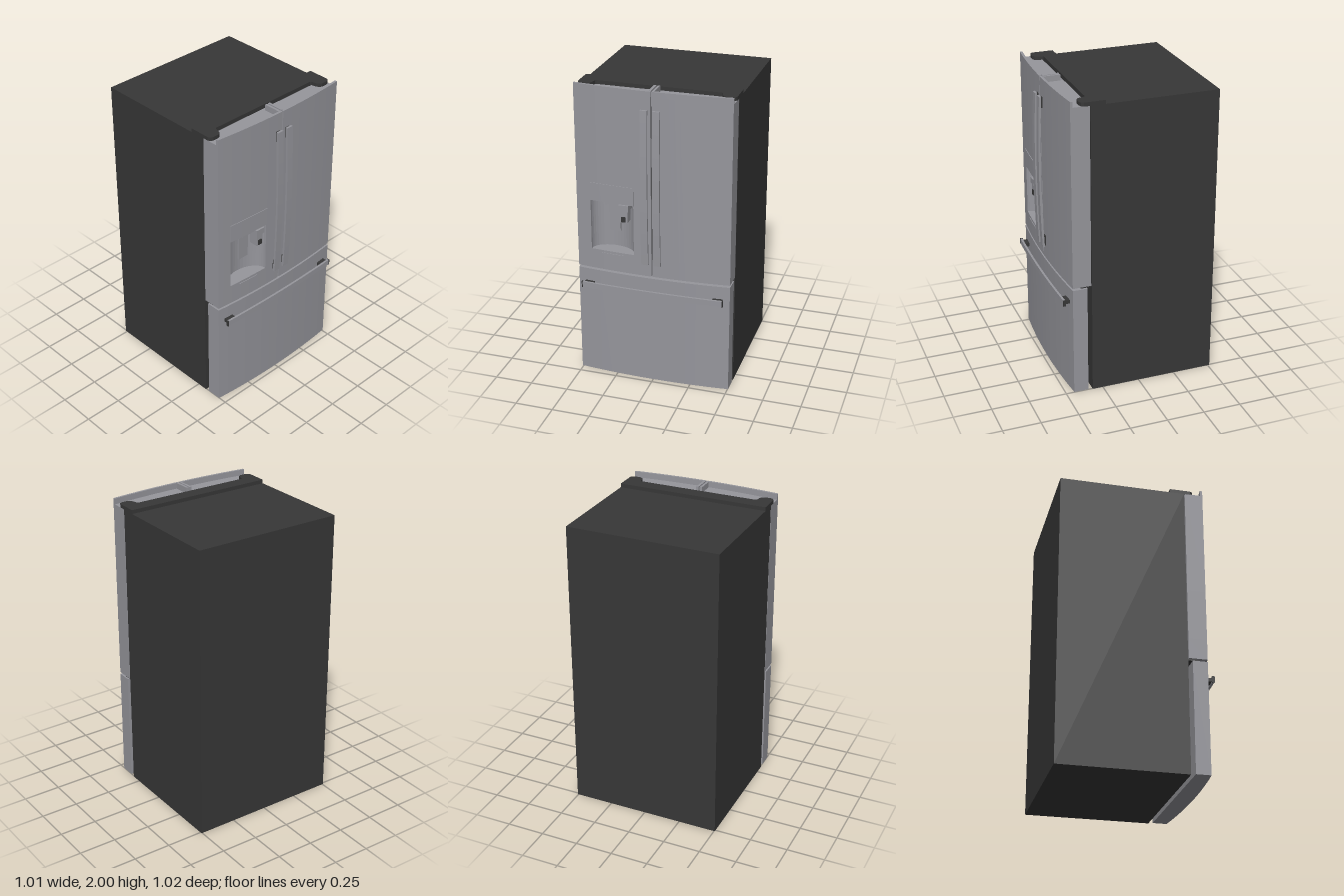
import * as THREE from 'three';

// Bowed front surface shared by the doors and the drawer
const front = (x) => 0.474 - 0.027 * (x / 0.505) ** 2;

// Extrude a plan outline of [x, z] points from y0 to y1
function slab(points, y0, y1) {
  const shape = new THREE.Shape(points.map(([x, z]) => new THREE.Vector2(x, -z)));
  const geo = new THREE.ExtrudeGeometry(shape, { depth: y1 - y0, bevelEnabled: false });
  return geo.rotateX(-Math.PI / 2).translate(0, y0, 0);
}

// Sample [x, f(x)] between two x values
function curve(x0, x1, f, n = 14) {
  return Array.from({ length: n + 1 }, (_, i) => {
    const x = x0 + ((x1 - x0) * i) / n;
    return [x, f(x)];
  });
}

// Plan outline between a back curve and a front curve
const band = (x0, x1, back, face) => [...curve(x0, x1, face), ...curve(x1, x0, back)];

// Handle bar along x, bowed toward +z
function bowedBar(length, width, zEnd, zMid, thick) {
  const h = length / 2;
  const f = (x) => zMid - (zMid - zEnd) * (x / h) ** 2;
  return slab(band(-h, h, (x) => f(x) - thick, f), -width / 2, width / 2);
}

export function createModel() {
  const model = new THREE.Group();
  model.name = 'refrigerator';
  const steel = new THREE.MeshStandardMaterial({ color: 0x96969c });
  steel.name = 'stainless steel';
  const dark = new THREE.MeshStandardMaterial({ color: 0x373737 });
  dark.name = 'dark grey casing';

  const add = (name, geo, mat, parent = model) => {
    const mesh = new THREE.Mesh(geo, mat);
    mesh.name = name;
    parent.add(mesh);
    return mesh;
  };
  const box = (name, x0, x1, y0, y1, z0, z1, mat, parent) =>
    add(name, new THREE.BoxGeometry(x1 - x0, y1 - y0, z1 - z0)
      .translate((x0 + x1) / 2, (y0 + y1) / 2, (z0 + z1) / 2), mat, parent);

  // Cabinet
  box('cabinet', -0.505, 0.505, 0, 1.96, -0.512, 0.32, dark);

  // Hinge cover across the top, with a rounded lobe over each door hinge
  const lobe = [[0.4, 0.32], [0.407, 0.326], [0.412, 0.355], [0.422, 0.375], [0.44, 0.385],
    [0.48, 0.385], [0.497, 0.378], [0.505, 0.362]];
  add('hingeCover', slab([
    ...lobe, [0.505, 0.225], [-0.505, 0.225],
    ...lobe.map(([x, z]) => [-x, z]).reverse(),
  ], 1.96, 1.985), dark);

  // French doors
  const doorBack = () => 0.325;
  const lipBack = (x) => front(x) - 0.016;
  const doorBottom = 0.765, recessBottom = 0.9, recessTop = 1.24, doorTop = 1.962;
  for (const side of [-1, 1]) {
    const door = new THREE.Group();
    door.name = side < 0 ? 'rightDoor' : 'leftDoor';
    model.add(door);
    const x0 = side < 0 ? -0.505 : 0.004;
    const x1 = side < 0 ? -0.004 : 0.505;
    const plan = band(x0, x1, doorBack, front);
    if (side > 0) {
      add('doorPanel', slab(plan, doorBottom, doorTop), steel, door);
    } else {
      add('doorPanelLower', slab(plan, doorBottom, recessBottom), steel, door);
      add('doorPanelUpper', slab(plan, recessTop, doorTop), steel, door);
      // Middle section with the concave dispenser recess
      const arc = Array.from({ length: 21 }, (_, i) => {
        const a = (Math.PI * i) / 20;
        const x = -0.265 - 0.145 * Math.cos(a);
        return [x, front(x) - 0.1 * Math.sin(a)];
      });
      add('doorPanelRecessed', slab([
        ...curve(x0, -0.41, front, 4).slice(0, -1), ...arc,
        ...curve(-0.12, x1, front, 4).slice(1), [x1, 0.325], [x0, 0.325],
      ], recessBottom, recessTop), steel, door);
    }
    // Raised front lip and inner end wall around the recessed door top
    add('doorTopLip', slab(band(x0, x1, lipBack, front), doorTop, 2), steel, door);
    const inner = [0.004 * side, 0.02 * side].sort((a, b) => a - b);
    box('doorTopEndWall', inner[0], inner[1], doorTop, 2, 0.345, 0.456, steel, door);

    // Vertical handle on two standoffs
    const handle = new THREE.Group();
    handle.name = 'doorHandle';
    door.add(handle);
    add('handleBar', bowedBar(1.03, 0.045, 0.499, 0.512, 0.014)
      .rotateZ(Math.PI / 2).translate(0.04 * side, 1.37, 0), steel, handle);
    for (const y of [0.895, 1.845]) {
      box('handleStandoff', 0.04 * side - 0.013, 0.04 * side + 0.013,
        y - 0.035, y + 0.035, 0.465, 0.49, dark, handle);
    }

    // Middle hinge between door and drawer
    box('middleHinge', 0.45 * side - 0.045, 0.45 * side + 0.045, 0.752, 0.763, 0.32, 0.39, dark);
  }

  // Seal strip closing the gap between the doors
  box('centreSeal', -0.004, 0.004, 0.765, 1.955, 0.32, 0.455, dark);

  // Water dispenser
  const dispenser = new THREE.Group();
  dispenser.name = 'dispenser';
  model.add(dispenser);
  add('controlPanel', slab(band(-0.415, -0.115, front, (x) => front(x) + 0.004),
    1.24, 1.36), steel, dispenser);
  add('dripSill', slab(band(-0.34, -0.19, front, (x) => front(x) + 0.004),
    0.872, 0.884), steel, dispenser);
  box('paddle', -0.3, -0.225, 1.03, 1.225, 0.405, 0.418, steel, dispenser);
  box('paddleMount', -0.31, -0.215, 1.22, 1.24, 0.39, 0.455, steel, dispenser);
  box('nozzleHousing', -0.215, -0.15, 1.2, 1.24, 0.4, 0.487, steel, dispenser);
  box('nozzleBody', -0.208, -0.157, 1.12, 1.2, 0.42, 0.48, steel, dispenser);
  box('nozzleButton', -0.197, -0.17, 1.125, 1.16, 0.48, 0.486, dark, dispenser);

  // Freezer drawer
  add('freezerDrawer', slab(band(-0.505, 0.505, () => 0.35, front).slice(), 0.005, 0.75), steel);
  const drawerHandle = new THREE.Group();
  drawerHandle.name = 'drawerHandle';
  model.add(drawerHandle);
  add('handleBar', bowedBar(0.935, 0.038, 0.498, 0.511, 0.014).translate(0, 0.652, 0),
    steel, drawerHandle);
  for (const side of [-1, 1]) {
    box('handleStandoff', 0.427 * side - 0.032, 0.427 * side + 0.032,
      0.64, 0.664, 0.445, 0.49, dark, drawerHandle);
    box('handleEndCap', 0.468 * side - 0.003, 0.468 * side + 0.003,
      0.631, 0.673, 0.482, 0.5, dark, drawerHandle);
  }

  return model;
}
